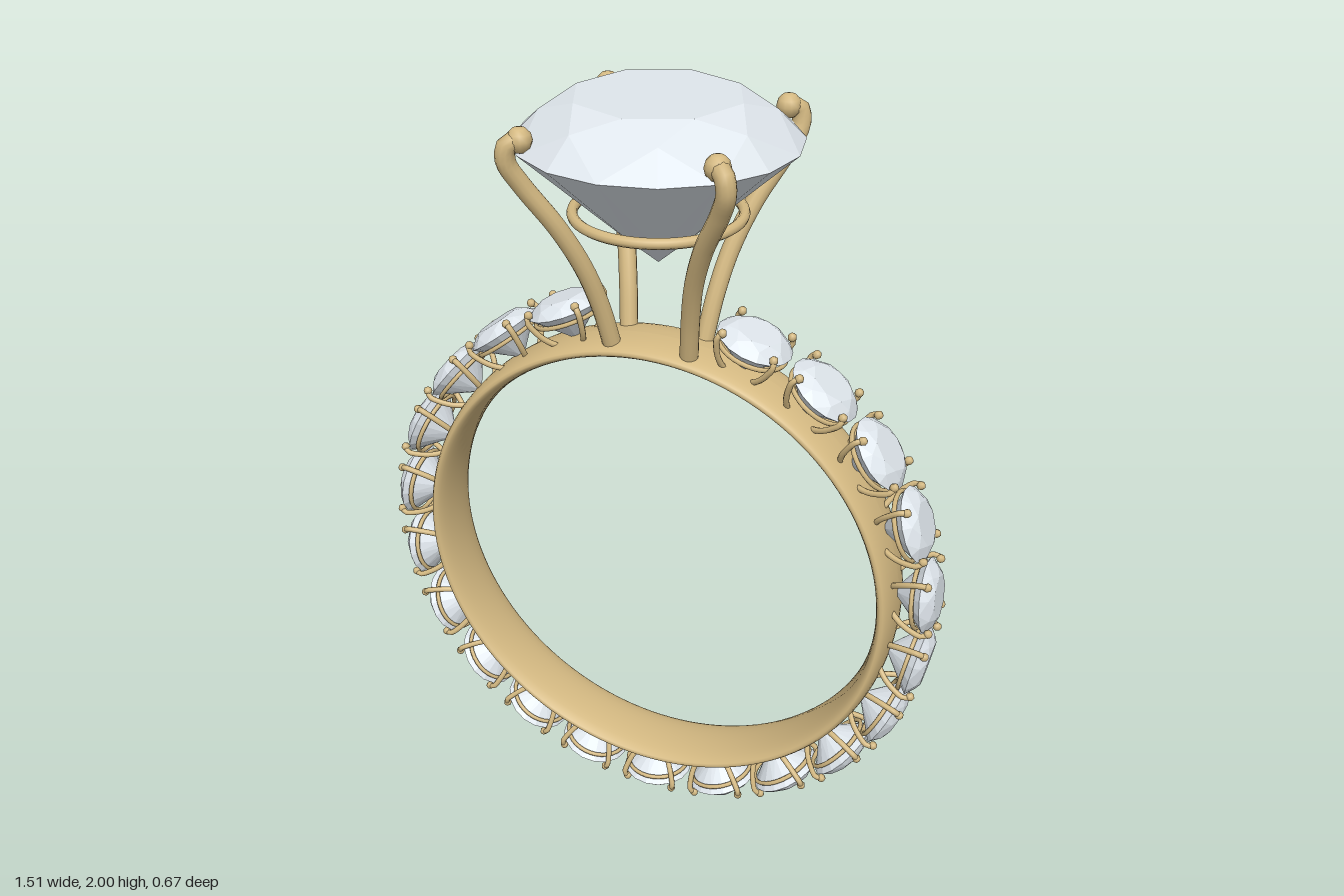
import * as THREE from 'three';
import { ConvexGeometry } from 'three/addons/geometries/ConvexGeometry.js';

const gold = new THREE.MeshStandardMaterial({ color: 0xd4b982 });
const gem = new THREE.MeshStandardMaterial({ color: 0xdfe6ec, flatShading: true });

const CENTER_Y = 0.757; // middle of the finger hole
const STEP = THREE.MathUtils.degToRad(16); // spacing of the small stones

function add(parent, name, geometry, material) {
  const mesh = new THREE.Mesh(geometry, material);
  mesh.name = name;
  parent.add(mesh);
  return mesh;
}

// Round brilliant cut, unit girdle radius at y = 0, table facing +y.
function brilliant() {
  const points = [new THREE.Vector3(0, -0.9, 0)];
  const ringOf = (count, radius, y, offset) => {
    for (let i = 0; i < count; i++) {
      const a = offset + (i / count) * Math.PI * 2;
      points.push(new THREE.Vector3(radius * Math.sin(a), y, radius * Math.cos(a)));
    }
  };
  const half = Math.PI / 8;
  const c = Math.cos(half);
  ringOf(8, 0.6, 0.3, 0); // table
  ringOf(8, 0.8, 0.3 * (1 - 0.8 * c) / 0.4, half); // kite corners of the crown
  ringOf(16, 1, 0, 0); // girdle
  ringOf(8, 0.25, -0.9 * (1 - 0.25 * c), half); // lower pavilion corners
  return new ConvexGeometry(points);
}

// Four mirrored claws along a path of [x, y, z], each with a rounded tip.
function addProngs(parent, path, radius, tipRadius, segments, sides) {
  for (const sx of [1, -1]) {
    for (const sz of [1, -1]) {
      const pts = path.map(([x, y, z]) => new THREE.Vector3(sx * x, y, sz * z));
      const prong = new THREE.Group();
      prong.name = 'prong';
      add(prong, 'prongWire',
        new THREE.TubeGeometry(new THREE.CatmullRomCurve3(pts), segments, radius, sides), gold);
      add(prong, 'prongTip', new THREE.SphereGeometry(tipRadius, sides, Math.ceil(sides / 2)), gold)
        .position.copy(pts[pts.length - 1]);
      parent.add(prong);
    }
  }
}

function addWireRing(parent, name, radius, tube, y, sides, segments) {
  const ring = add(parent, name, new THREE.TorusGeometry(radius, tube, sides, segments), gold);
  ring.rotation.x = Math.PI / 2;
  ring.position.y = y;
}

export function createModel() {
  const model = new THREE.Group();
  model.name = 'ring';
  const stoneGeometry = brilliant();

  // Band with an oval cross-section
  const profile = [];
  for (let i = 0; i <= 24; i++) {
    const a = (i / 24) * Math.PI * 2;
    profile.push(new THREE.Vector2(0.629 + 0.024 * Math.cos(a), 0.09 * Math.sin(a)));
  }
  const band = add(model, 'band', new THREE.LatheGeometry(profile, 128), gold);
  band.rotation.x = Math.PI / 2;
  band.position.y = CENTER_Y;

  // Main stone and its tall four-claw head
  const head = new THREE.Group();
  head.name = 'head';
  model.add(head);
  const mainStone = add(head, 'mainStone', stoneGeometry, gem);
  mainStone.scale.setScalar(0.335);
  mainStone.position.y = 1.9;
  addProngs(head, [
    [0.1, 1.385, 0.05], [0.115, 1.5, 0.082], [0.138, 1.61, 0.122],
    [0.178, 1.72, 0.17], [0.235, 1.83, 0.223], [0.257, 1.89, 0.25],
    [0.25, 1.928, 0.25], [0.23, 1.935, 0.232],
  ], 0.023, 0.03, 40, 12);
  addWireRing(head, 'galleryRing', 0.2, 0.013, 1.725, 10, 64);

  // Small stones all around the band, leaving a gap under the head
  for (let i = -10; i <= 10; i++) {
    const setting = new THREE.Group();
    setting.name = 'smallSetting';
    setting.position.y = CENTER_Y;
    setting.rotation.z = i * STEP + Math.PI;
    const stone = add(setting, 'smallStone', stoneGeometry, gem);
    stone.scale.setScalar(0.096);
    stone.position.y = 0.726;
    addProngs(setting, [
      [0.035, 0.638, 0.035], [0.055, 0.668, 0.055], [0.068, 0.7, 0.068],
      [0.074, 0.728, 0.074], [0.068, 0.742, 0.068],
    ], 0.0075, 0.0115, 12, 8);
    addWireRing(setting, 'smallGalleryRing', 0.086, 0.006, 0.705, 6, 32);
    model.add(setting);
  }

  return model;
}
